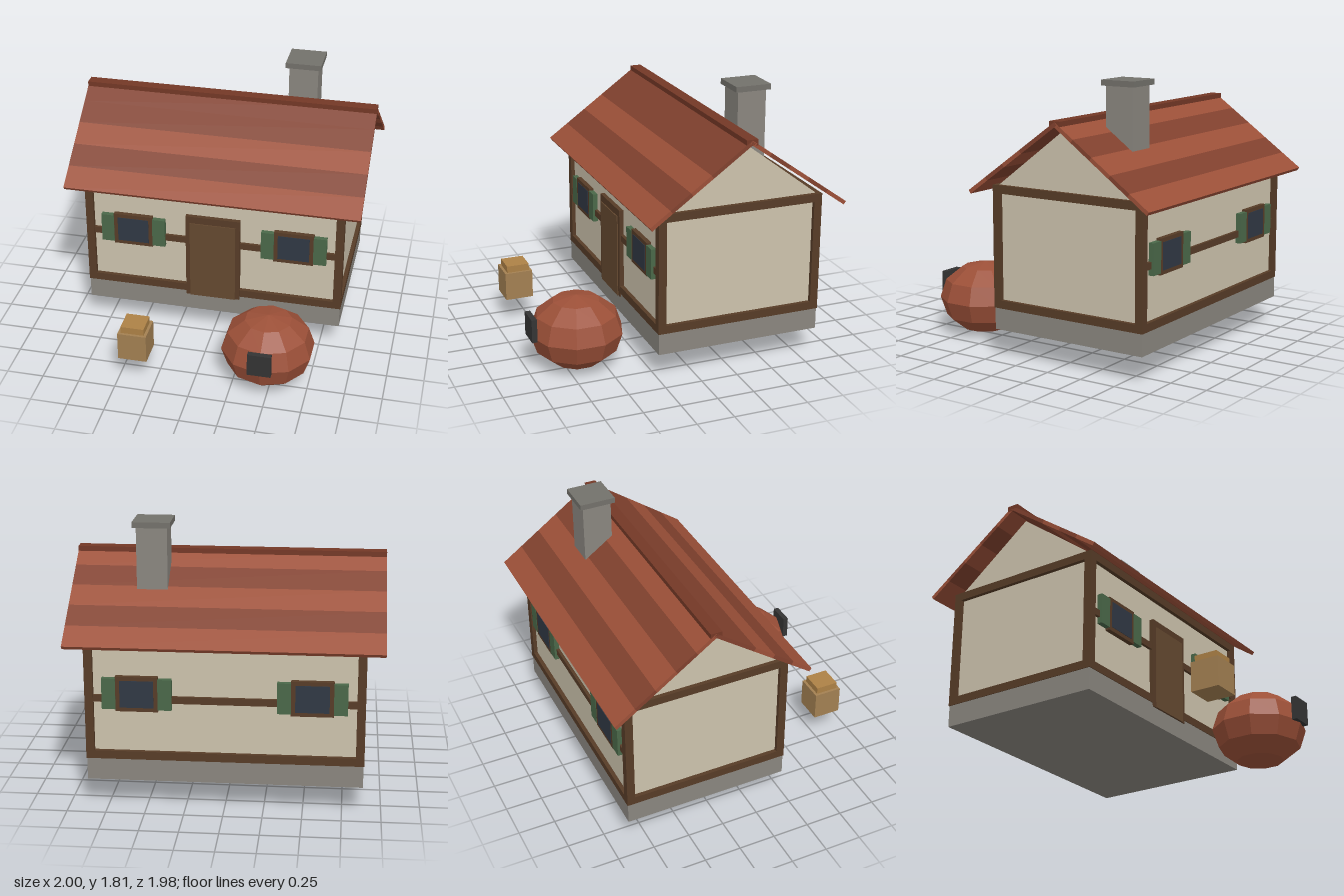
import * as THREE from 'three';

const mat = (color) => new THREE.MeshStandardMaterial({ color, flatShading: true });
const M = {
  wall: mat(0xcdc3ad), timber: mat(0x573c27), stone: mat(0x8a867f), cap: mat(0x73716b),
  tile: mat(0x9c5038), tileDark: mat(0x81412e), ridge: mat(0x743826), door: mat(0x654930),
  glass: mat(0x303844), shutter: mat(0x4a6849), black: mat(0x343434),
  crate: mat(0xa38052), lid: mat(0xad8146),
};

function add(parent, name, geometry, material, x, y, z) {
  const mesh = new THREE.Mesh(geometry, material);
  mesh.name = name;
  mesh.position.set(x, y, z);
  parent.add(mesh);
  return mesh;
}
const box = (parent, name, material, w, h, d, x, y, z) =>
  add(parent, name, new THREE.BoxGeometry(w, h, d), material, x, y, z);

function group(parent, name, x = 0, y = 0, z = 0) {
  const g = new THREE.Group();
  g.name = name;
  g.position.set(x, y, z);
  parent.add(g);
  return g;
}

const HX = 0.86, HZ = 0.54, T = 0.054; // wall half sizes and timber thickness

// Framed window with a shutter on each side, placed on the +z face
function addWindow(parent, x) {
  const w = group(parent, 'window', x, 0.762, HZ);
  box(w, 'windowFrame', M.timber, 0.27, 0.23, 0.064, 0, 0, 0);
  box(w, 'windowGlass', M.glass, 0.215, 0.178, 0.07, 0, 0, 0);
  for (const s of [-1, 1]) box(w, 'shutter', M.shutter, 0.088, 0.203, 0.07, s * 0.178, 0, 0);
}

// Long wall face: middle rail and two windows
function addLongSide(house, name, turn) {
  const g = group(house, name);
  g.rotation.y = turn;
  box(g, 'middleRail', M.timber, 2 * HX, 0.045, 0.04, 0, 0.725, HZ);
  for (const s of [-1, 1]) addWindow(g, s * 0.554);
  return g;
}

// Roof slope made of five tile rows, running down from the ridge
function addSlope(roof, name, turn, colors) {
  const g = group(roof, name);
  g.rotation.y = turn;
  const tilt = group(g, 'slope');
  tilt.rotation.x = Math.atan2(0.482, 0.675);
  const row = Math.hypot(0.482, 0.675) / 5, t = 0.026;
  colors.forEach((m, i) => box(tilt, 'tileRow', m, 2, t, row, 0, -t / 2, (i + 0.5) * row));
}

export function createModel() {
  const model = new THREE.Group();
  model.name = 'cottage';
  const house = group(model, 'house', 0, 0, -0.312);

  // Base and walls with gables, extruded along x
  box(house, 'foundation', M.stone, 1.765, 0.145, 1.125, 0, 0.248, 0);
  const profile = new THREE.Shape([
    [-HZ, 0.32], [HZ, 0.32], [HZ, 1.125], [0, 1.535], [-HZ, 1.125],
  ].map(([a, b]) => new THREE.Vector2(a, b)));
  const walls = new THREE.ExtrudeGeometry(profile, { depth: 2 * HX, bevelEnabled: false });
  walls.translate(0, 0, -HX).rotateY(Math.PI / 2);
  add(house, 'walls', walls, M.wall, 0, 0, 0);

  // Timber frame
  for (const s of [-1, 1]) {
    for (const r of [-1, 1]) box(house, 'cornerPost', M.timber, T, 0.81, T, s * HX, 0.725, r * HZ);
    for (const y of [0.347, 1.103]) {
      box(house, 'longBeam', M.timber, 2 * HX, T, T, 0, y, s * HZ);
      box(house, 'sideBeam', M.timber, T, T, 2 * HZ, s * HX, y, 0);
    }
  }

  // Front with door, and back
  const front = addLongSide(house, 'front', 0);
  box(front, 'doorFrame', M.timber, 0.374, 0.625, 0.06, 0, 0.608, HZ);
  box(front, 'door', M.door, 0.314, 0.575, 0.074, 0, 0.583, HZ);
  addLongSide(house, 'back', Math.PI);

  // Roof
  const roof = group(model, 'roof', 0, 1.582, -0.315);
  const { tile: a, tileDark: b } = M;
  addSlope(roof, 'frontSlope', 0, [b, b, a, b, a]);
  addSlope(roof, 'backSlope', Math.PI, [a, b, a, b, a]);
  box(roof, 'ridgeCap', M.ridge, 2, 0.04, 0.078, 0, -0.015, 0);

  // Chimney
  const chimney = group(model, 'chimney', 0.481, 0, -0.508);
  box(chimney, 'chimneyStack', M.stone, 0.197, 0.575, 0.197, 0, 1.488, 0);
  box(chimney, 'chimneyCap', M.cap, 0.242, 0.037, 0.242, 0, 1.793, 0);

  // Round clay oven with its dark opening
  const oven = group(model, 'oven', 0.467, 0.248, 0.665);
  const dome = add(oven, 'ovenDome', new THREE.SphereGeometry(0.312, 10, 6), M.tile, 0, 0, 0);
  dome.scale.y = 0.795;
  dome.rotation.y = Math.PI / 2;
  box(oven, 'ovenDoor', M.black, 0.155, 0.158, 0.036, 0, 0.069, 0.307);

  // Crate with lid
  const crate = group(model, 'crate', -0.394, 0, 0.828);
  box(crate, 'crateBody', M.crate, 0.193, 0.196, 0.193, 0, 0.276, 0);
  box(crate, 'crateLid', M.lid, 0.156, 0.047, 0.156, 0, 0.397, 0);

  return model;
}
